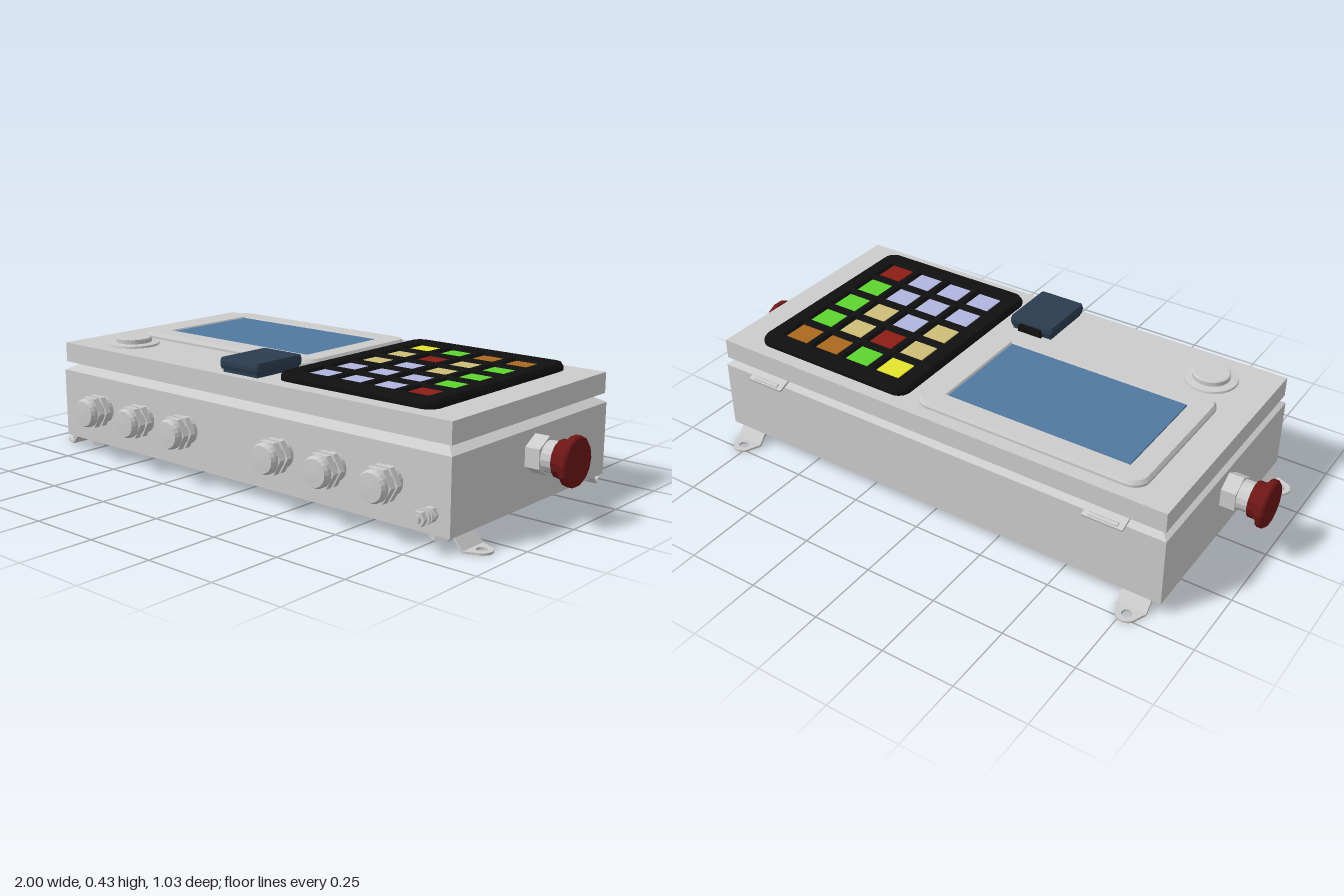
import * as THREE from 'three';

const mat = (color, flat = true) =>
  new THREE.MeshStandardMaterial({ color, flatShading: flat, side: THREE.DoubleSide });
const GREY = mat(0xcccccc), SMOOTH = mat(0xcccccc, false);
const BLACK = mat(0x101010), NAVY = mat(0x2b3d50), GLASS = mat(0x5078a0), RED = mat(0x6e1616);
const KEYS = {
  y: mat(0xe4e42c), g: mat(0x5cd42e), o: mat(0xaa681e),
  t: mat(0xcebe78), r: mat(0x8c1c16), l: mat(0xb2b5de),
};
const CZ = -0.007; // depth centre of the enclosure

function add(parent, name, geo, material, x = 0, y = 0, z = 0) {
  const m = new THREE.Mesh(geo, material);
  m.name = name;
  m.position.set(x, y, z);
  parent.add(m);
  return m;
}

// box given by its min and max corners
function block(parent, name, material, [x0, y0, z0], [x1, y1, z1]) {
  return add(parent, name, new THREE.BoxGeometry(x1 - x0, y1 - y0, z1 - z0), material,
    (x0 + x1) / 2, (y0 + y1) / 2, (z0 + z1) / 2);
}

function roundRect(x0, z0, x1, z1, r) {
  const s = new THREE.Shape(), q = Math.PI / 2;
  s.absarc(x1 - r, -z0 - r, r, 0, q);
  s.absarc(x0 + r, -z0 - r, r, q, 2 * q);
  s.absarc(x0 + r, -z1 + r, r, 2 * q, 3 * q);
  s.absarc(x1 - r, -z1 + r, r, 3 * q, 4 * q);
  s.closePath();
  return s;
}

function rectHole(cx, cz, w, d) {
  const a = w / 2, b = d / 2;
  return new THREE.Path([[-a, -b], [-a, b], [a, b], [a, -b]].map(([x, y]) => new THREE.Vector2(cx + x, y - cz)));
}

// bevelled plate lying flat, with its top at y = top
function plate(shape, top, bevel) {
  const g = new THREE.ExtrudeGeometry(shape, {
    depth: 0.012, bevelEnabled: true, bevelSize: bevel, bevelOffset: -bevel,
    bevelThickness: 0.012, bevelSegments: 1, curveSegments: 6,
  });
  return g.rotateX(-Math.PI / 2).translate(0, top - 0.024, 0);
}

const lathe = (pts, n) => new THREE.LatheGeometry(pts.map(p => new THREE.Vector2(...p)), n);

// hexagonal prism from y0 to y1
const hex = (r, y0, y1) => new THREE.CylinderGeometry(r, r, y1 - y0, 6)
  .rotateY(Math.PI / 6).translate(0, (y0 + y1) / 2, 0);

// cable gland along local +y
function cableGland() {
  const g = new THREE.Group();
  g.name = 'cableGland';
  add(g, 'glandBody', lathe([[0.046, 0], [0.046, 0.06], [0.05, 0.065], [0.05, 0.085], [0.044, 0.097], [0, 0.099]], 20), GREY);
  add(g, 'glandNut', hex(0.058, 0.02, 0.04), GREY);
  add(g, 'glandCap', hex(0.058, 0.05, 0.072), GREY);
  return g;
}

// emergency push button along local +y
function stopButton() {
  const g = new THREE.Group();
  g.name = 'stopButton';
  add(g, 'stopNut', hex(0.062, 0, 0.05), GREY);
  add(g, 'stopCollar', new THREE.CylinderGeometry(0.05, 0.05, 0.045, 16), GREY, 0, 0.07, 0);
  add(g, 'stopMushroom', lathe([[0, 0.09], [0.06, 0.09], [0.06, 0.11], [0.068, 0.122], [0.079, 0.127], [0.079, 0.144], [0.073, 0.15], [0, 0.15]], 14), RED);
  return g;
}

// wall bracket around its bolt, pointing to local +z
function bracket() {
  const g = new THREE.Group();
  g.name = 'mountingBracket';
  const w = 0.1;
  const side = new THREE.Shape([[-0.045, 0.045], [0.075, 0.045], [0.107, 0.007], [0.112, 0.007],
    [0.112, 0], [0.102, 0], [0.07, 0.038], [-0.045, 0.038]].map(p => new THREE.Vector2(...p)));
  add(g, 'bracketStrip', new THREE.ExtrudeGeometry(side, { depth: w, bevelEnabled: false })
    .rotateY(-Math.PI / 2).translate(w / 2, 0, 0), GREY);
  // rounded tab with a screw hole
  const tab = new THREE.Shape();
  tab.moveTo(-w / 2, 0.108);
  tab.lineTo(w / 2, 0.108);
  tab.absarc(0, 0.134, 0.037, 0.15, Math.PI - 0.15, false);
  tab.closePath();
  tab.holes.push(new THREE.Path().absarc(0, 0.137, 0.017, 0, Math.PI * 2, true));
  add(g, 'bracketTab', new THREE.ExtrudeGeometry(tab, { depth: 0.007, bevelEnabled: false, curveSegments: 10 })
    .rotateX(Math.PI / 2).translate(0, 0.007, 0), GREY);
  add(g, 'bracketBolt', hex(0.04, 0.01, 0.032), GREY);
  add(g, 'boltWasher', new THREE.CylinderGeometry(0.03, 0.03, 0.01, 16), GREY, 0, 0.035, 0);
  return g;
}

export function createModel() {
  const model = new THREE.Group();
  model.name = 'controlBox';

  // enclosure, sloped rim, seal and lid
  block(model, 'enclosure', GREY, [-0.85, 0.045, CZ - 0.423], [0.85, 0.285, CZ + 0.423]);
  const rim = new THREE.BoxGeometry(1.7, 0.02, 0.846);
  const p = rim.attributes.position;
  for (let i = 0; i < p.count; i++) {
    if (p.getY(i) > 0) p.setXYZ(i, Math.sign(p.getX(i)) * 0.815, p.getY(i), Math.sign(p.getZ(i)) * 0.388);
  }
  add(model, 'rim', rim, GREY, 0, 0.295, CZ);
  block(model, 'seal', GREY, [-0.81, 0.3, CZ - 0.383], [0.81, 0.318, CZ + 0.383]);
  block(model, 'lid', GREY, [-0.845, 0.315, CZ - 0.42], [0.845, 0.384, CZ + 0.418]);

  // display with bezel
  const bezel = roundRect(-0.735, -0.38, 0.088, 0.155, 0.055);
  bezel.holes.push(rectHole(-0.324, -0.114, 0.653, 0.367));
  add(model, 'displayBezel', plate(bezel, 0.404, 0.008), GREY);
  block(model, 'screen', GLASS, [-0.652, 0.38, -0.299], [0.004, 0.4, 0.071]);

  // keypad with coloured keys
  const pad = roundRect(0.127, -0.38, 0.735, 0.357, 0.045);
  ['ygoo', 'trtg', 'tltg', 'lllg', 'lllr'].forEach((row, j) => [...row].forEach((c, i) => {
    const x = 0.24 + i * 0.1285, z = -0.267 + j * 0.1275;
    pad.holes.push(rectHole(x, z, 0.094, 0.094));
    block(model, 'key', KEYS[c], [x - 0.044, 0.38, z - 0.044], [x + 0.044, 0.402, z + 0.044]);
  }));
  add(model, 'keypad', plate(pad, 0.41, 0.008), BLACK);

  // round push button on the lid
  add(model, 'roundButton', lathe([[0.09, 0.382], [0.088, 0.391], [0.062, 0.394], [0.062, 0.409], [0.058, 0.412], [0, 0.412]], 28),
    GREY, -0.64, 0, 0.27);

  // dark reader module with its plug
  add(model, 'readerModule', plate(roundRect(-0.088, 0.178, 0.084, 0.39, 0.012), 0.431, 0.004), NAVY);
  block(model, 'readerBase', NAVY, [-0.078, 0.382, 0.186], [0.074, 0.412, 0.38]);
  block(model, 'readerPlug', BLACK, [-0.044, 0.383, 0.162], [0.04, 0.415, 0.19]);

  // cable glands and earth stud on the front
  for (const s of [-1, 1]) for (const x of [0.213, 0.425, 0.637]) {
    const gland = cableGland();
    gland.position.set(s * x, 0.175, 0.416);
    gland.rotation.x = Math.PI / 2;
    model.add(gland);
  }
  const stud = new THREE.Group();
  stud.name = 'earthStud';
  stud.position.set(0.787, 0.108, 0.416);
  stud.rotation.x = Math.PI / 2;
  add(stud, 'studRod', new THREE.CylinderGeometry(0.012, 0.012, 0.078, 12), GREY, 0, 0.039, 0);
  add(stud, 'studNut', hex(0.024, 0, 0.016), GREY);
  add(stud, 'studOuterNut', hex(0.024, 0.052, 0.068), GREY);
  for (const y of [0.028, 0.042]) add(stud, 'studWasher', new THREE.CylinderGeometry(0.025, 0.025, 0.006, 16), SMOOTH, 0, y, 0);
  model.add(stud);

  for (const s of [-1, 1]) {
    // emergency buttons at both ends
    const stop = stopButton();
    stop.position.set(s * 0.85, 0.205, -0.009);
    stop.rotation.z = -s * Math.PI / 2;
    model.add(stop);

    // brackets: one pair to the back, one pair to the sides
    const back = bracket();
    back.position.set(s * 0.767, 0, -0.345);
    back.rotation.y = Math.PI;
    const end = bracket();
    end.position.set(s * 0.765, 0, 0.333);
    end.rotation.y = s * Math.PI / 2;
    model.add(back, end);

    // hinges: tilted leaf with a pin
    const hinge = new THREE.Group();
    hinge.name = 'hinge';
    hinge.position.set(s * 0.653, 0.298, -0.425);
    add(hinge, 'hingeLeaf', new THREE.BoxGeometry(0.138, 0.008, 0.07), GREY).rotation.x = -0.36;
    add(hinge, 'hingePin', new THREE.CylinderGeometry(0.008, 0.008, 0.1, 10).rotateZ(Math.PI / 2), SMOOTH, 0, -0.006, -0.022);
    model.add(hinge);
  }
  return model;
}
